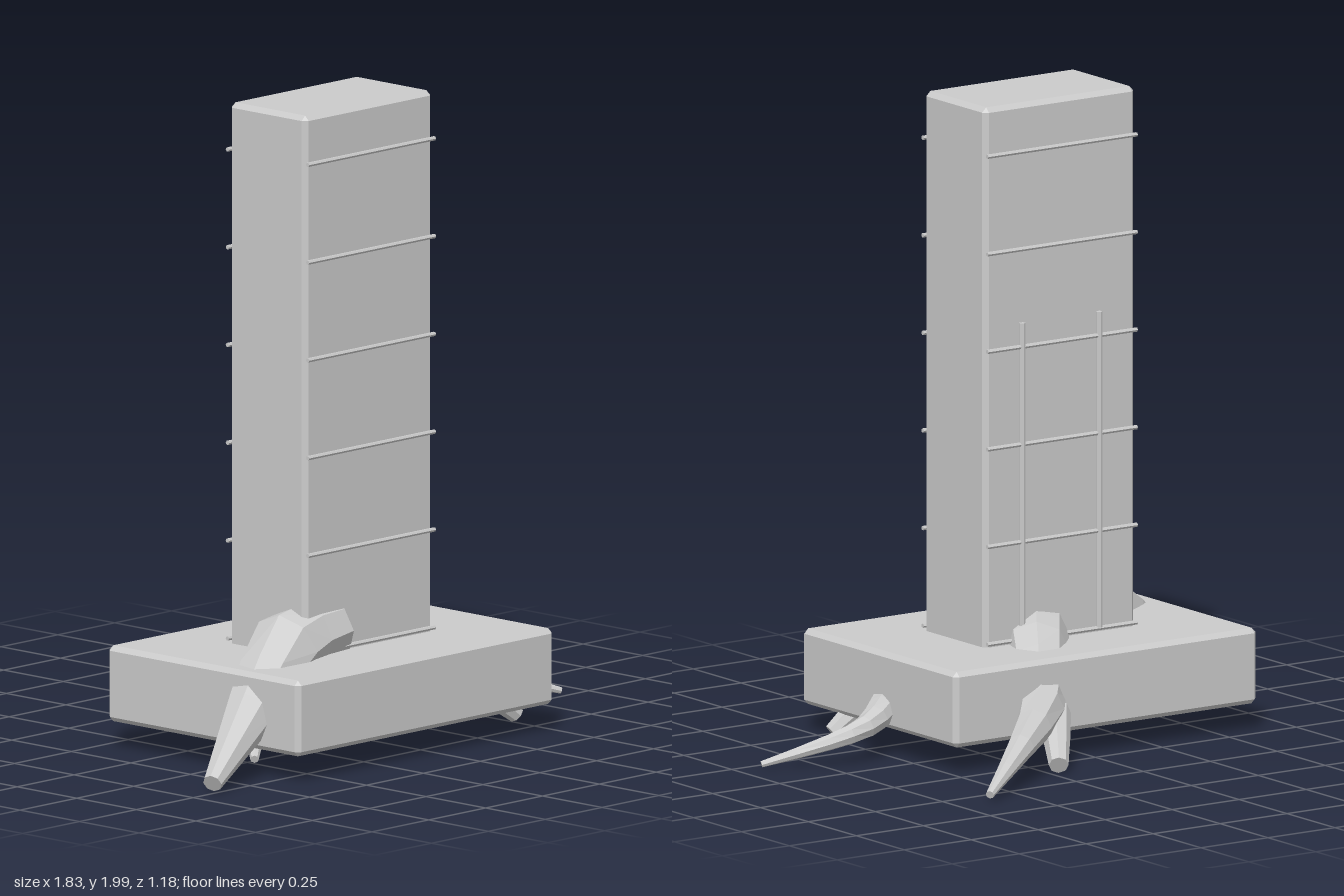
import * as THREE from 'three';
import { ConvexGeometry } from 'three/addons/geometries/ConvexGeometry.js';

const material = new THREE.MeshStandardMaterial({ color: 0xcccccc, flatShading: true });

function addMesh(parent, name, geometry) {
  const mesh = new THREE.Mesh(geometry, material);
  mesh.name = name;
  parent.add(mesh);
  return mesh;
}

// Box with every edge chamfered: three points per corner
function chamferedBox(min, max, c) {
  const points = [];
  for (let corner = 0; corner < 8; corner++) {
    for (let axis = 0; axis < 3; axis++) {
      const p = [0, 1, 2].map((i) => {
        const inset = i === axis ? 0 : c;
        return corner & (1 << i) ? max[i] - inset : min[i] + inset;
      });
      points.push(new THREE.Vector3(...p));
    }
  }
  return new ConvexGeometry(points);
}

// Tapered, closed root through nodes of [x, y, z, radius]
function rootGeometry(nodes, steps, sides = 8) {
  const curve = new THREE.CatmullRomCurve3(nodes.map((n) => new THREE.Vector3(n[0], n[1], n[2])));
  const up = new THREE.Vector3(0, 1, 0);
  const positions = [];
  const index = [];
  for (let i = 0; i <= steps; i++) {
    const t = i / steps;
    const f = t * (nodes.length - 1);
    const k = Math.min(Math.floor(f), nodes.length - 2);
    const radius = THREE.MathUtils.lerp(nodes[k][3], nodes[k + 1][3], f - k);
    const centre = curve.getPoint(t);
    const tangent = curve.getTangent(t);
    const side = new THREE.Vector3().crossVectors(tangent, up).normalize();
    const top = new THREE.Vector3().crossVectors(side, tangent);
    for (let j = 0; j < sides; j++) {
      const a = (j / sides) * Math.PI * 2;
      const p = centre.clone()
        .addScaledVector(side, Math.cos(a) * radius)
        .addScaledVector(top, Math.sin(a) * radius);
      positions.push(p.x, p.y, p.z);
      if (i < steps) {
        const b = i * sides + j;
        const c = i * sides + ((j + 1) % sides);
        index.push(b, b + sides, c, c, b + sides, c + sides);
      }
    }
  }
  // End caps
  const last = steps * sides;
  for (let j = 1; j < sides - 1; j++) {
    index.push(0, j, j + 1, last, last + j + 1, last + j);
  }
  const geometry = new THREE.BufferGeometry();
  geometry.setAttribute('position', new THREE.Float32BufferAttribute(positions, 3));
  geometry.setIndex(index);
  geometry.computeVertexNormals();
  return geometry;
}

export function createModel() {
  const model = new THREE.Group();
  model.name = 'rootedTower';

  // Plinth and tower
  addMesh(model, 'plinth', chamferedBox([-0.633, 0.09, -0.215], [0.497, 0.325, 0.59], 0.015));
  addMesh(model, 'tower', chamferedBox([-0.35, 0.3, 0.028], [0.213, 2, 0.35], 0.015));

  // Horizontal bands on the front and back
  const bands = new THREE.Group();
  bands.name = 'bands';
  model.add(bands);
  const bandGeometry = new THREE.CylinderGeometry(0.007, 0.007, 0.558, 6).rotateZ(Math.PI / 2);
  for (let i = 0; i < 6; i++) {
    for (const z of [0.357, 0.02]) {
      addMesh(bands, 'band', bandGeometry).position.set(-0.068, 0.337 + i * 0.303, z);
    }
  }

  // Upright pipes on the back
  for (const x of [0.08, -0.207]) {
    addMesh(model, 'pipe', new THREE.CylinderGeometry(0.01, 0.01, 0.98, 8))
      .position.set(x, 0.83, 0.02);
  }

  // Roots breaking out of the plinth
  const roots = {
    largeFrontRoot: [[-0.17, 0.385, 0.285, 0.095], [-0.37, 0.35, 0.29, 0.115],
      [-0.62, 0.195, 0.375, 0.08], [-0.9, 0.035, 0.485, 0.03]],
    largeBackRoot: [[-0.03, 0.335, 0.1, 0.1], [0.035, 0.305, 0.01, 0.1], [0.105, 0.225, -0.1, 0.085],
      [0.175, 0.175, -0.21, 0.072], [0.4, 0.12, -0.42, 0.042], [0.63, 0.028, -0.58, 0.013]],
    backBranch: [[0.08, 0.17, -0.15, 0.05], [0.16, 0.1, -0.27, 0.043], [0.23, 0.035, -0.38, 0.03]],
    curledSideRoot: [[0.42, 0.16, 0.23, 0.055], [0.5, 0.145, 0.165, 0.047], [0.6, 0.115, 0.11, 0.036],
      [0.72, 0.08, 0.125, 0.025], [0.91, 0.018, 0.22, 0.01]],
    shortSideRoot: [[0.37, 0.15, 0.38, 0.045], [0.44, 0.09, 0.4, 0.038], [0.505, 0.032, 0.42, 0.027]],
    underRoot: [[-0.3, 0.14, 0.11, 0.045], [-0.39, 0.08, 0.18, 0.033], [-0.5, 0.022, 0.28, 0.013]],
  };
  for (const [name, nodes] of Object.entries(roots)) {
    addMesh(model, name, rootGeometry(nodes, (nodes.length - 1) * 2));
  }

  return model;
}
